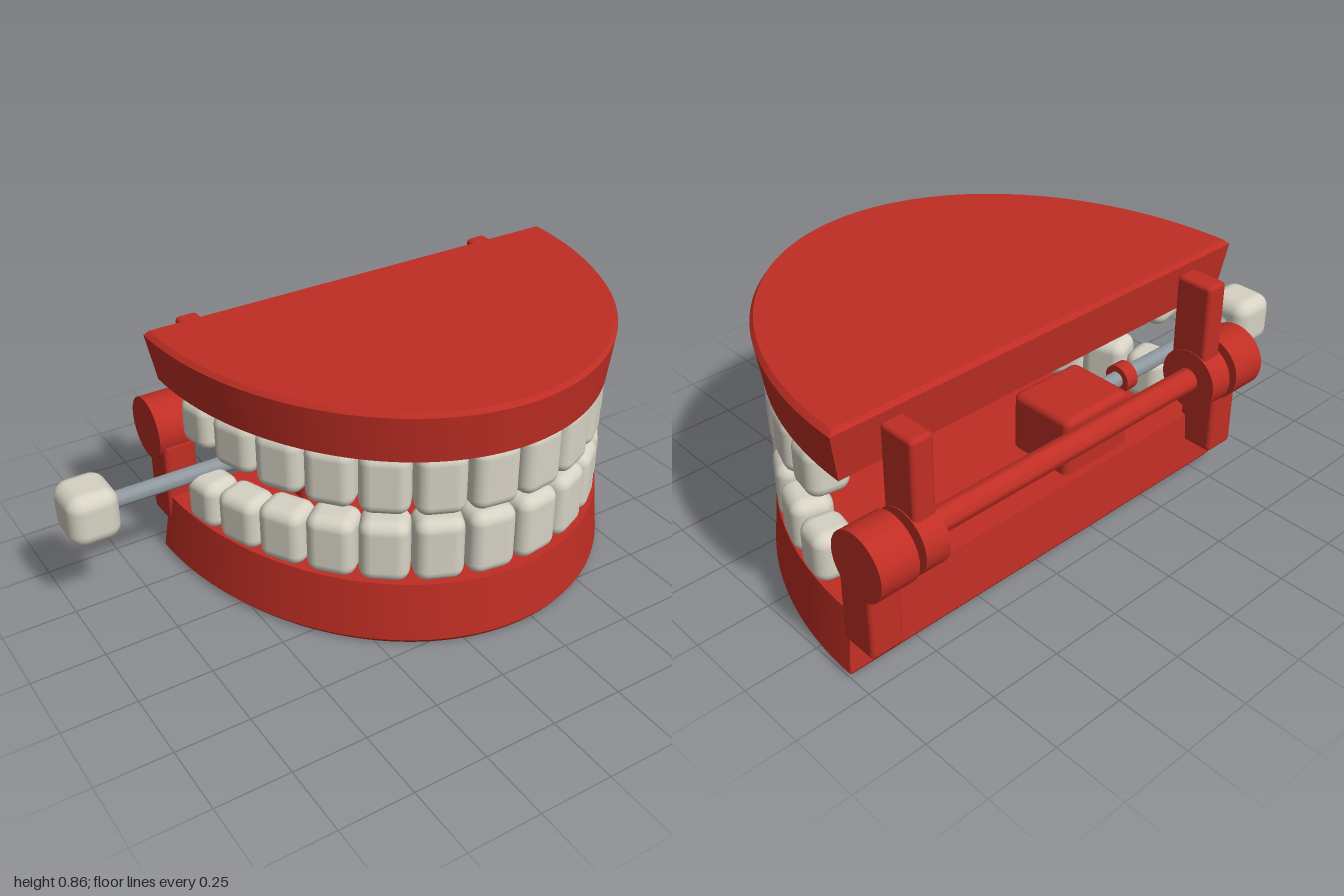
import * as THREE from 'three';
import { toCreasedNormals } from 'three/addons/utils/BufferGeometryUtils.js';
import { RoundedBoxGeometry } from 'three/addons/geometries/RoundedBoxGeometry.js';

const MID = 0.2;       // x of the jaw centre line
const BACK = -0.415;   // z of the straight back edge

export function createModel() {
  const model = new THREE.Group();
  const red = new THREE.MeshStandardMaterial({ name: 'gumRed', color: 0xc02e24 });
  const ivory = new THREE.MeshStandardMaterial({ name: 'toothIvory', color: 0xd6d2c4 });
  const steel = new THREE.MeshStandardMaterial({ name: 'shaftSteel', color: 0x8f989e });

  const add = (name, geometry, material, x, y, z, parent = model) => {
    const mesh = new THREE.Mesh(geometry, material);
    mesh.name = name;
    mesh.position.set(x, y, z);
    parent.add(mesh);
    return mesh;
  };
  const block = (w, h, d, r, seg = 2) => new RoundedBoxGeometry(w, h, d, seg, r);
  // cylinder lying along x
  const rod = (r, length, sides = 40) =>
    toCreasedNormals(new THREE.CylinderGeometry(r, r, length, sides).rotateZ(Math.PI / 2), 0.6);

  // D-shaped gum: three layers from top to bottom, each [height, scale]
  function gum(layers) {
    const shape = new THREE.Shape();
    shape.absellipse(0, 0, 0.8, 1, 0, Math.PI);
    shape.closePath();
    const g = new THREE.ExtrudeGeometry(shape, { depth: 2, steps: 2, bevelEnabled: false, curveSegments: 48 });
    g.rotateX(Math.PI / 2);
    const p = g.attributes.position;
    for (let i = 0; i < p.count; i++) {
      const [y, s] = layers[Math.round(-p.getY(i))];
      p.setXYZ(i, MID + p.getX(i) * s, y, 0.0875 + (p.getZ(i) + BACK - 0.0875) * s);
    }
    return toCreasedNormals(g, 0.5);
  }
  add('upperGum', gum([[0.855, 0.98], [0.84, 1], [0.68, 0.965]]), red, 0, 0, 0);
  add('lowerGum', gum([[0.225, 0.965], [0.015, 1], [0, 0.98]]), red, 0, 0, 0);

  // teeth evenly spaced along a half ellipse, shorter toward the back
  const A = 0.715, B = 0.9, PITCH = 0.163;
  const arch = [];
  let s = 0, px = 0, pz = B;
  for (let k = 1; k <= 2000 && arch.length < 7; k++) {
    const t = (k / 2000) * Math.PI / 2;
    const x = A * Math.sin(t), z = B * Math.cos(t);
    s += Math.hypot(x - px, z - pz);
    [px, pz] = [x, z];
    if (s >= (arch.length + 0.5) * PITCH) {
      arch.push({ x, z: z + BACK, turn: Math.atan2(x / (A * A), z / (B * B)) });
    }
  }
  const upperTips = [0.46, 0.463, 0.468, 0.478, 0.488, 0.505, 0.52];
  const lowerTips = [0.447, 0.445, 0.438, 0.43, 0.417, 0.4, 0.388];
  const rows = [
    ['upperTeeth', 0.69, upperTips],
    ['lowerTeeth', 0.215, lowerTips],
  ];
  for (const [name, root, tips] of rows) {
    const row = new THREE.Group();
    row.name = name;
    model.add(row);
    arch.forEach((a, i) => {
      const g = block(i === 6 ? 0.142 : 0.162, Math.abs(root - tips[i]), 0.135, 0.042, 3);
      for (const side of [-1, 1]) {
        const tooth = add('tooth', g, ivory, MID + side * a.x, (root + tips[i]) / 2, a.z, row);
        tooth.rotation.y = side * a.turn;
      }
    });
  }

  // hinge: rod, outer knuckles on the lower jaw, inner knuckles on the upper jaw
  const HY = 0.457, HZ = -0.483;
  add('hingeRod', rod(0.04, 1.56, 24), red, MID, HY, HZ);
  for (const side of [-1, 1]) {
    add('outerKnuckle', rod(0.11, 0.13), red, MID + side * 0.733, HY, HZ);
    add('lowerArm', block(0.115, 0.31, 0.135, 0.015), red, MID + side * 0.727, 0.275, -0.443);
    add('innerKnuckle', rod(0.105, 0.085), red, MID + side * 0.598, HY, HZ);
    add('upperArm', block(0.08, 0.3, 0.135, 0.015), red, MID + side * 0.598, 0.66, -0.472);
  }

  // wind-up motor with its key
  const KY = 0.383, KZ = -0.248;
  add('motorHousing', block(0.29, 0.25, 0.25, 0.025), red, -0.06, 0.305, -0.245);
  add('shaftCollar', rod(0.05, 0.05, 24), red, -0.3, KY, KZ);
  add('keyShaft', rod(0.028, 0.7, 20), steel, -0.52, KY, KZ);
  add('keyKnob', block(0.172, 0.185, 0.185, 0.05, 3), ivory, -0.914, KY, KZ);

  return model;
}
